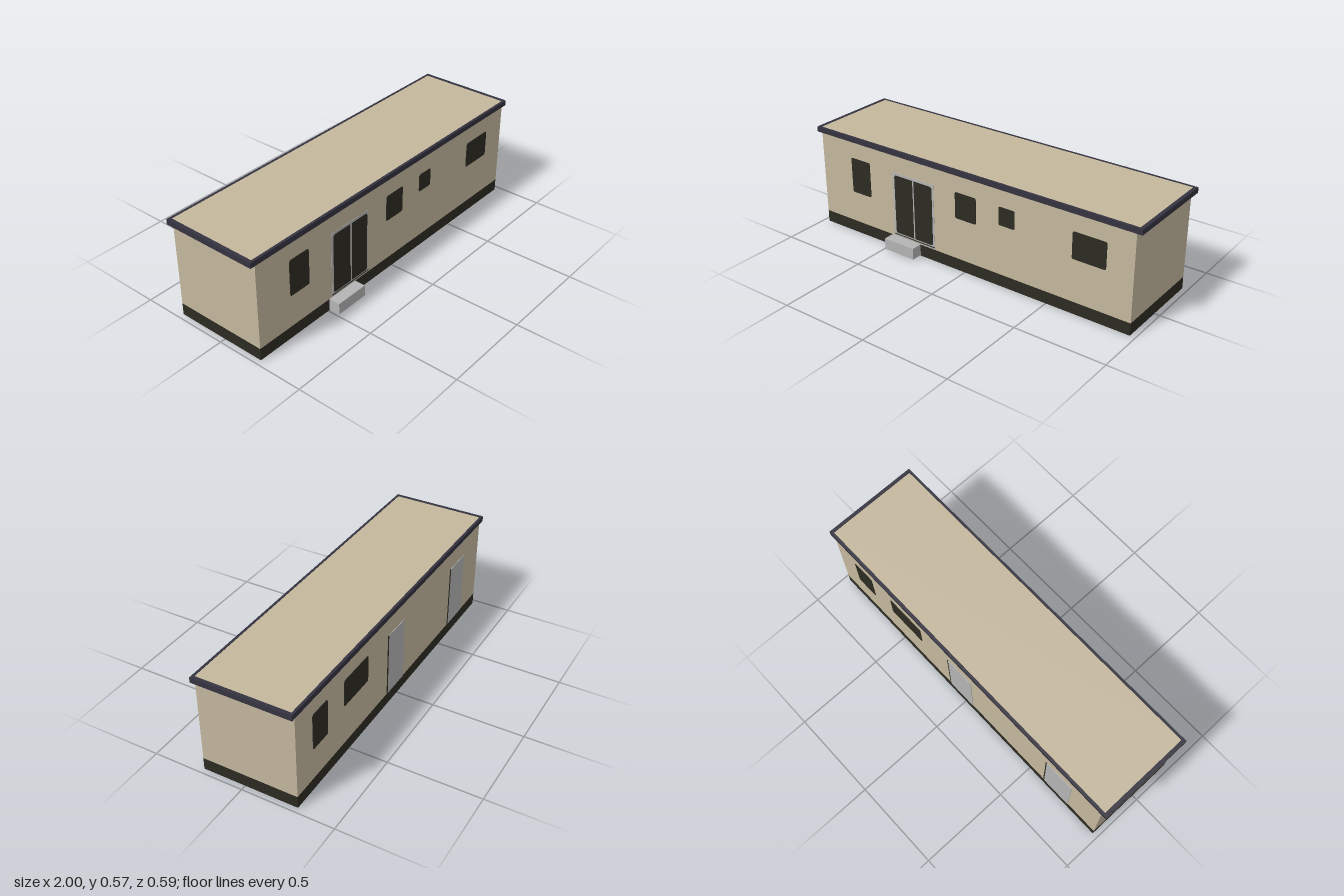
import * as THREE from 'three';

const mat = (name, color, side = THREE.FrontSide) => {
  const m = new THREE.MeshStandardMaterial({ color, side });
  m.name = name;
  return m;
};

export function createModel() {
  const model = new THREE.Group();
  model.name = 'cabin';

  const beige = mat('beige cladding', 0xc4b79d, THREE.DoubleSide);
  const dark = mat('dark plinth and glass', 0x2c2b22, THREE.DoubleSide);
  const trim = mat('slate roof trim', 0x353340);
  const grey = mat('light grey', 0xb5b4b4);

  const FRONT = 0.235, BACK = -0.29, HALF = 0.97;
  const midZ = (FRONT + BACK) / 2;

  const add = (name, geometry, material) => {
    const mesh = new THREE.Mesh(geometry, material);
    mesh.name = name;
    model.add(mesh);
    return mesh;
  };

  // Box given by its limits
  const box = (name, x0, x1, y0, y1, z0, z1, material) =>
    add(name, new THREE.BoxGeometry(x1 - x0, y1 - y0, z1 - z0), material)
      .position.set((x0 + x1) / 2, (y0 + y1) / 2, (z0 + z1) / 2);

  // Four thin walls without top or bottom
  const shell = (name, y0, y1, material) => {
    const g = new THREE.BoxGeometry(2 * HALF, y1 - y0, FRONT - BACK);
    const index = Array.from(g.index.array);
    g.setIndex([...index.slice(0, 12), ...index.slice(24)]);
    g.clearGroups();
    add(name, g, material).position.set(0, (y0 + y1) / 2, midZ);
  };

  // Thin plate with softened corners, showing on both sides of a wall
  const pane = (name, x0, x1, y0, y1, z, material, r = 0.01) => {
    const s = new THREE.Shape();
    s.moveTo(x0 + r, y0);
    s.lineTo(x1 - r, y0);
    s.quadraticCurveTo(x1, y0, x1, y0 + r);
    s.lineTo(x1, y1 - r);
    s.quadraticCurveTo(x1, y1, x1 - r, y1);
    s.lineTo(x0 + r, y1);
    s.quadraticCurveTo(x0, y1, x0, y1 - r);
    s.lineTo(x0, y0 + r);
    s.quadraticCurveTo(x0, y0, x0 + r, y0);
    const g = new THREE.ExtrudeGeometry(s, { depth: 0.006, bevelEnabled: false, curveSegments: 4 });
    add(name, g, material).position.z = z - 0.003;
  };

  // Body
  shell('plinth', 0, 0.067, dark);
  shell('walls', 0.067, 0.54, beige);

  // Roof panel inside a projecting trim frame
  box('roofPanel', -0.98, 0.98, 0.54, 0.566, -0.283, 0.226, beige);
  for (const s of [-1, 1]) {
    box('roofEndTrim', Math.min(s, s * 0.98), Math.max(s, s * 0.98), 0.538, 0.567, -0.297, 0.24, trim);
  }
  box('roofFrontTrim', -0.98, 0.98, 0.538, 0.567, 0.226, 0.24, trim);
  box('roofBackTrim', -0.98, 0.98, 0.538, 0.567, -0.297, -0.283, trim);

  // Windows: x0, x1, y0, y1
  [[-0.76, -0.63, 0.245, 0.445], [-0.055, 0.075, 0.3, 0.445],
   [0.215, 0.31, 0.345, 0.445], [0.64, 0.825, 0.3, 0.445]]
    .forEach(w => pane('frontWindow', ...w, FRONT, dark));
  [[0.7, 0.83, 0.245, 0.445], [0.32, 0.55, 0.295, 0.445]]
    .forEach(w => pane('backWindow', ...w, BACK, dark));

  // Double glazed entrance with a pale frame on the outside
  box('entranceFrame', -0.47, -0.195, 0.07, 0.44, FRONT, FRONT + 0.0015, grey);
  pane('entranceGlass', -0.457, -0.207, 0.09, 0.426, FRONT, dark, 0.014);
  box('entranceMullion', -0.333, -0.326, 0.09, 0.426, FRONT + 0.002, FRONT + 0.0045, grey);
  box('entranceSill', -0.47, -0.195, 0.078, 0.083, FRONT, FRONT + 0.003, dark);

  // Back doors with a dark jamb line
  for (const [x0, x1] of [[-0.06, 0.108], [-0.78, -0.608]]) {
    pane('backDoor', x0, x1, 0.069, 0.43, BACK, grey, 0.004);
    box('backDoorJamb', x1, x1 + 0.007, 0.069, 0.43, BACK - 0.003, BACK + 0.003, dark);
  }

  // Entrance step
  box('step', -0.49, -0.295, 0.004, 0.067, FRONT, 0.297, grey);

  return model;
}
